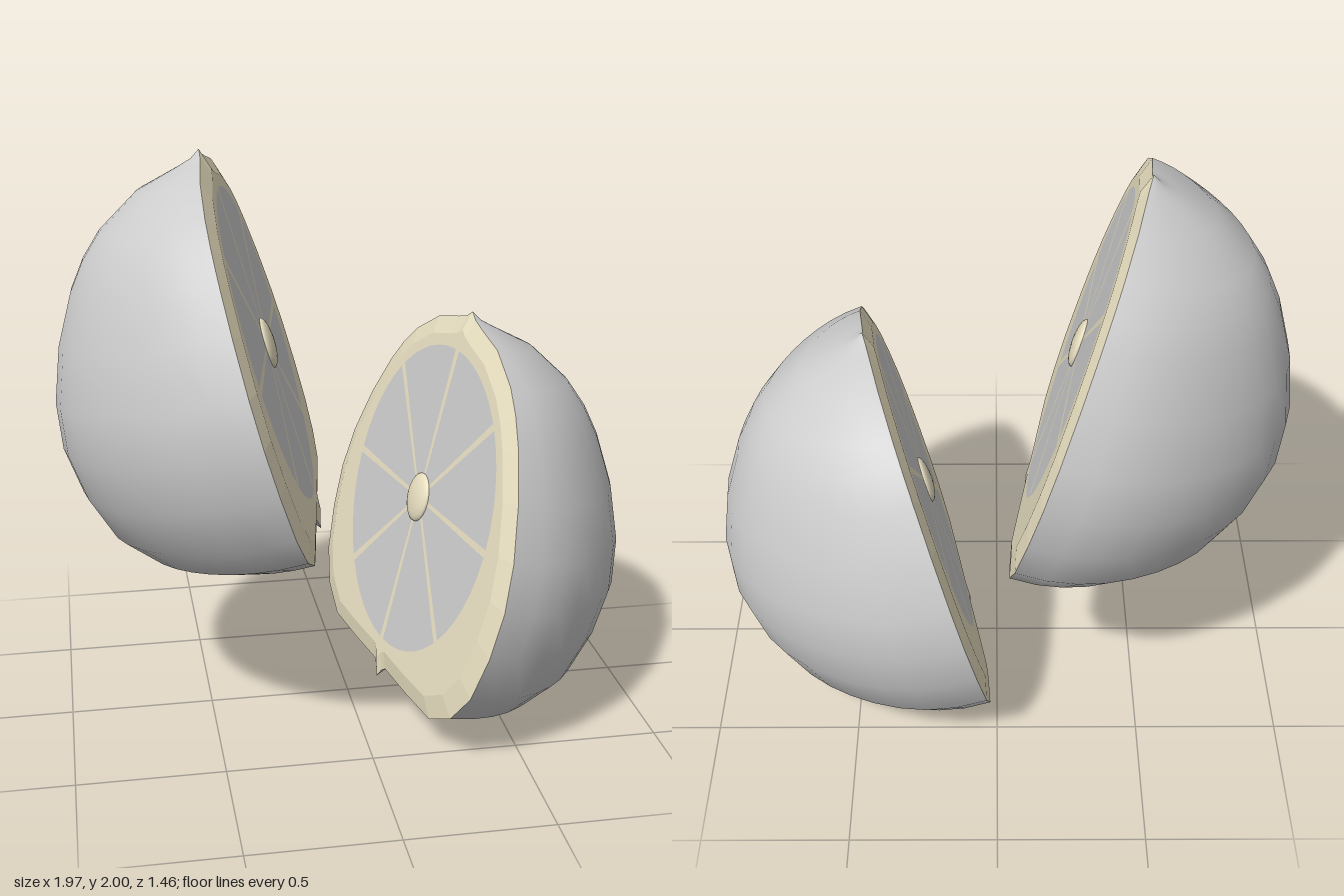
import * as THREE from 'three';

const skin = new THREE.MeshStandardMaterial({ color: 0xcccccc });
skin.name = 'skin grey';
const pulp = new THREE.MeshStandardMaterial({ color: 0xcacaca });
pulp.name = 'pulp grey';
const pith = new THREE.MeshStandardMaterial({ color: 0xeae1c2 });
pith.name = 'pith cream';

// Fruit profile (radius, height), from the bottom nub to the stem tip
const PROFILE = [
  [0, -0.7], [0.025, -0.665], [0.05, -0.648], [0.25, -0.65], [0.45, -0.645], [0.585, -0.575],
  [0.675, -0.46], [0.722, -0.295], [0.735, -0.13], [0.707, 0.03], [0.635, 0.21],
  [0.54, 0.37], [0.47, 0.457], [0.39, 0.53], [0.24, 0.615], [0.09, 0.652], [0.035, 0.668], [0, 0.69],
].map(([r, y]) => new THREE.Vector2(r, y));

// Closed outline of the cut, counterclockwise
const OUTLINE = [
  ...PROFILE,
  ...PROFILE.slice(1, -1).reverse().map((p) => new THREE.Vector2(-p.x, p.y)),
];

const SEGMENTS = 8;
const PULP_RADIUS = 0.548;
const BEVEL_SCALE = 0.9;
const BEVEL_HEIGHT = 0.02;

function named(geometry, material, name) {
  const mesh = new THREE.Mesh(geometry, material);
  mesh.name = name;
  return mesh;
}

// Half-turn skin, slightly drawn in on its diagonals
function skinGeometry() {
  const geometry = new THREE.LatheGeometry(PROFILE, 20, 0, Math.PI);
  const position = geometry.attributes.position;
  for (let i = 0; i < position.count; i++) {
    const x = position.getX(i);
    const z = position.getZ(i);
    const squeeze = 1 - 0.045 * Math.sin(2 * Math.atan2(x, z)) ** 2;
    position.setX(i, x * squeeze * 1.02);
    position.setZ(i, z * squeeze);
  }
  geometry.computeVertexNormals();
  return geometry;
}

// Sloping band from the skin edge up to the flat of the cut
function bevelGeometry() {
  const corners = [];
  OUTLINE.forEach((a, i) => {
    const b = OUTLINE[(i + 1) % OUTLINE.length];
    const outer = (p) => [p.x, p.y, 0];
    const inner = (p) => [p.x * BEVEL_SCALE, p.y * BEVEL_SCALE, BEVEL_HEIGHT];
    corners.push(...outer(a), ...outer(b), ...inner(b), ...outer(a), ...inner(b), ...inner(a));
  });
  const geometry = new THREE.BufferGeometry();
  geometry.setAttribute('position', new THREE.Float32BufferAttribute(corners, 3));
  geometry.computeVertexNormals();
  return geometry;
}

// Outline points of one pulp wedge, leaving a tapered gap to its neighbours
function wedgePoints(index) {
  const start = (index / SEGMENTS) * Math.PI * 2;
  const end = ((index + 1) / SEGMENTS) * Math.PI * 2;
  const at = (r, a) => new THREE.Vector2(r * Math.cos(a), r * Math.sin(a));
  const points = [at(0.015, (start + end) / 2)];
  const gap = 0.024;
  for (let i = 0; i <= 6; i++) {
    points.push(at(PULP_RADIUS, THREE.MathUtils.lerp(start + gap, end - gap, i / 6)));
  }
  return points;
}

// One half fruit: skin on the +x side, cut face looking along -x
function createHalf(name) {
  const half = new THREE.Group();
  half.name = name;
  half.add(named(skinGeometry(), skin, 'skin'));

  const face = new THREE.Group();
  face.name = 'cutFace';
  face.rotation.y = -Math.PI / 2;
  half.add(face);
  face.add(named(bevelGeometry(), pith, 'pithBevel'));

  const flat = new THREE.Group();
  flat.name = 'cutFlat';
  flat.position.z = BEVEL_HEIGHT;
  face.add(flat);

  // Pith plate with wedge holes, the wedges lying flush inside it
  const plate = new THREE.Shape(OUTLINE.map((p) => p.clone().multiplyScalar(BEVEL_SCALE)));
  for (let i = 0; i < SEGMENTS; i++) {
    const points = wedgePoints(i);
    plate.holes.push(new THREE.Path(points));
    flat.add(named(new THREE.ShapeGeometry(new THREE.Shape(points)), pulp, 'pulpSegment'));
  }
  flat.add(named(new THREE.ShapeGeometry(plate), pith, 'pith'));

  // Domed core
  const core = named(new THREE.SphereGeometry(1, 20, 12), pith, 'core');
  core.scale.set(0.077, 0.088, 0.025);
  flat.add(core);
  return half;
}

// Tilts and turns a half about the centre of its cut
function place(half, x, y, yaw, tilt) {
  const pivot = new THREE.Group();
  pivot.name = half.name + 'Pivot';
  pivot.position.set(x, y, 0);
  pivot.rotation.set(0, yaw, tilt, 'YXZ');
  pivot.add(half);
  return pivot;
}

export function createModel() {
  const model = new THREE.Group();
  model.name = 'halvedCitrus';

  const left = createHalf('leftHalf');
  const right = createHalf('rightHalf');
  right.rotation.y = Math.PI;

  model.add(place(left, 0.275, 0.742, 0.187, -0.255));
  model.add(place(right, -0.296, 1.337, -0.165, 0.285));
  return model;
}
